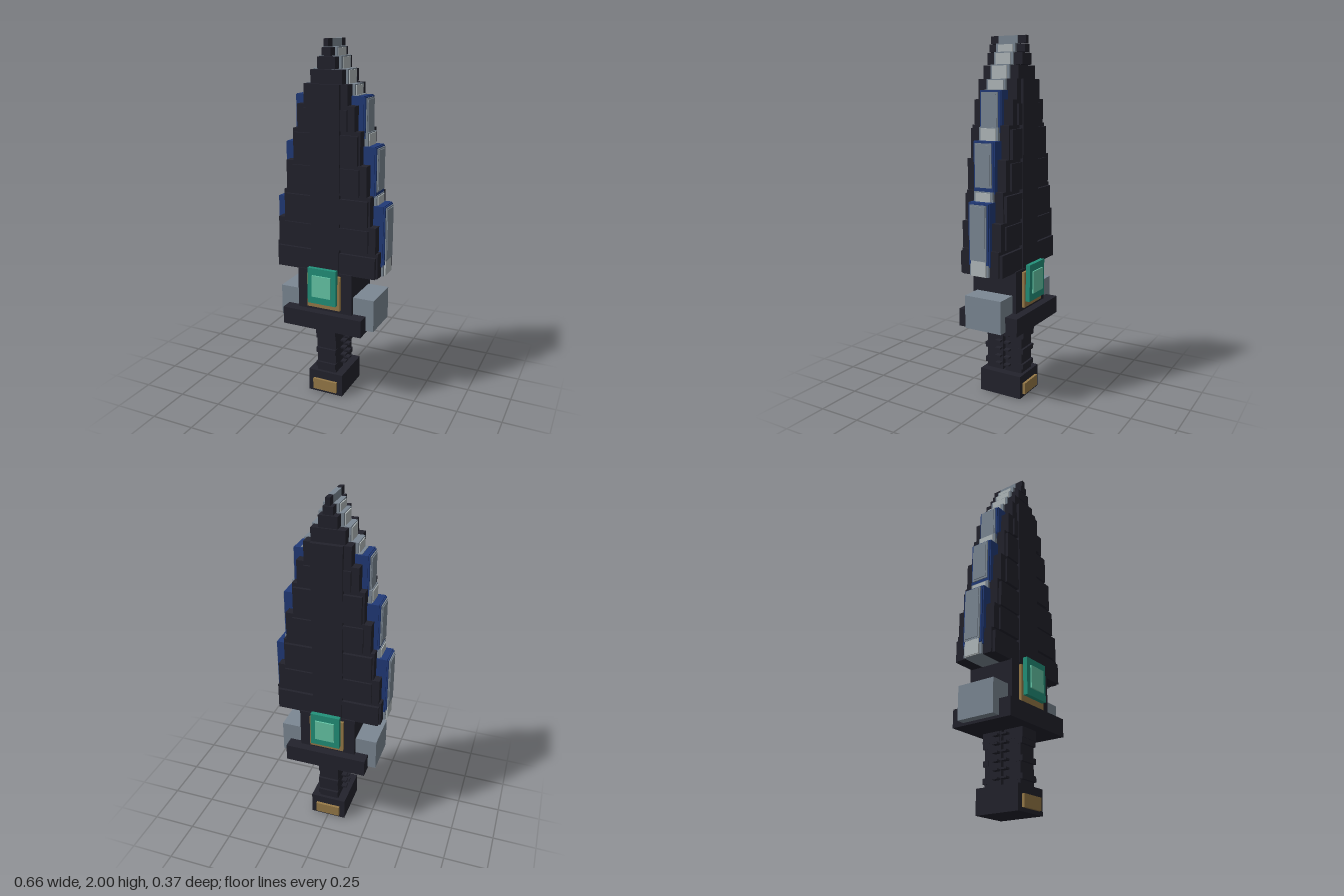
import * as THREE from 'three';

const mat = (name, color) => Object.assign(new THREE.MeshStandardMaterial({ color }), { name });

export function createModel() {
  const dark = mat('darkMetal', 0x22222c), steel = mat('steel', 0x7c8894), pale = mat('paleSteel', 0xb2babc);
  const blue = mat('blue', 0x213a78), gold = mat('gold', 0x977a48);
  const teal = mat('teal', 0x22917a), mint = mat('mint', 0x66c8a8);
  const root = new THREE.Group();
  root.name = 'sword';

  // Box given by its limits on each axis
  const box = (name, m, x0, x1, y0, y1, z0, z1) => {
    const mesh = new THREE.Mesh(new THREE.BoxGeometry(x1 - x0, y1 - y0, z1 - z0), m);
    mesh.position.set((x0 + x1) / 2, (y0 + y1) / 2, (z0 + z1) / 2);
    mesh.name = name;
    root.add(mesh);
  };
  const centred = (name, m, x, y0, y1, z) => box(name, m, -x, x, y0, y1, -z, z);
  // Same box on the front and back
  const frontBack = (name, m, x, y0, y1, z0, z1) => {
    box(name + 'Front', m, -x, x, y0, y1, z0, z1);
    box(name + 'Back', m, -x, x, y0, y1, -z1, -z0);
  };
  // Same box on the left and right
  const sides = (name, m, x0, x1, y0, y1, z) => {
    box(name + 'Left', m, x0, x1, y0, y1, -z, z);
    box(name + 'Right', m, -x1, -x0, y0, y1, -z, z);
  };

  // Pommel
  centred('pommel', dark, 0.105, 0, 0.133, 0.13);
  frontBack('pommelPlate', gold, 0.073, 0.02, 0.085, 0.13, 0.145);

  // Grip in two halves with a narrow slot, wrapped by bands and thin ribs
  frontBack('gripCore', dark, 0.058, 0.13, 0.43, 0.008, 0.112);
  for (let i = 0; i < 6; i++) {
    const y = 0.17 + i * 0.045;
    frontBack('gripRib', dark, 0.088, y, y + 0.01, 0.012, 0.045);
    if (i % 2 === 0) frontBack('gripBand', dark, 0.06, y - 0.01, y + 0.02, 0.09, 0.125);
  }
  frontBack('gripTop', dark, 0.06, 0.37, 0.43, 0.02, 0.128);

  // Guard and collar
  centred('guard', dark, 0.238, 0.425, 0.525, 0.184);
  sides('guardBlock', steel, 0.15, 0.285, 0.44, 0.625, 0.113);
  centred('collar', dark, 0.163, 0.525, 0.76, 0.137);

  // Stepped gem on both faces
  frontBack('gemFrame', gold, 0.1, 0.545, 0.745, 0.137, 0.153);
  frontBack('gem', teal, 0.085, 0.578, 0.785, 0.153, 0.178);
  frontBack('gemCentre', mint, 0.056, 0.62, 0.745, 0.178, 0.186);

  // Steel core of the blade: [half width, bottom, top], with pale edge strips
  const core = [
    [0.315, 0.755, 0.85], [0.27, 0.85, 1.2], [0.215, 1.2, 1.53], [0.16, 1.53, 1.72],
    [0.14, 1.72, 1.775], [0.1, 1.775, 1.85], [0.065, 1.85, 1.915], [0.04, 1.915, 1.96], [0.014, 1.96, 2],
  ];
  core.forEach(([x, y0, y1]) => {
    centred('bladeCore', steel, x, y0, y1, 0.058);
    if (x > 0.03) sides('coreEdge', pale, x - 0.002, x + 0.005, y0, y1 - 0.006, 0.045);
  });

  // Blue edge armour with raised steel panels
  const edges = [[0.32, 0.81, 1.147], [0.265, 1.19, 1.46], [0.2, 1.49, 1.717]];
  edges.forEach(([x, y0, y1]) => {
    sides('edgeArmour', blue, x - 0.075, x - 0.008, y0, y1, 0.065);
    sides('edgeRim', blue, x - 0.01, x, y0 + 0.01, y1 - 0.004, 0.06);
    sides('edgePanel', steel, x - 0.005, x + 0.006, y0 + 0.03, y1 - 0.01, 0.05);
    sides('edgePanelCap', steel, x, x + 0.01, y0 + 0.04, y1 - 0.018, 0.042);
  });
  sides('lowerEdge', pale, 0.3, 0.325, 0.758, 0.85, 0.045);

  // Overlapping dark plates: [half width, bottom, top, depth]
  const plates = [
    [0.303, 0.755, 0.895, 0.112], [0.29, 0.895, 1.04, 0.118], [0.255, 1.04, 1.2, 0.112],
    [0.235, 1.2, 1.365, 0.118], [0.195, 1.365, 1.54, 0.112], [0.165, 1.54, 1.67, 0.118],
    [0.125, 1.67, 1.775, 0.118], [0.09, 1.775, 1.85, 0.108], [0.05, 1.85, 1.915, 0.108],
    [0.026, 1.915, 1.96, 0.108], [0.012, 1.96, 2, 0.108],
  ];
  plates.forEach(([x, y0, y1, z], i) => {
    frontBack('bladePlate', dark, x, y0, y1 - (i > 6 && i < 10 ? 0.004 : 0), 0.056, z);
    if (i < 6) frontBack('bladeOverlay', dark, x - (i % 2 ? 0.04 : 0.01), y0, y1 - 0.02, z, 0.129);
  });

  // Raised central spine
  frontBack('spine', dark, 0.085, 0.757, 1.775, 0.1, 0.134);
  return root;
}
